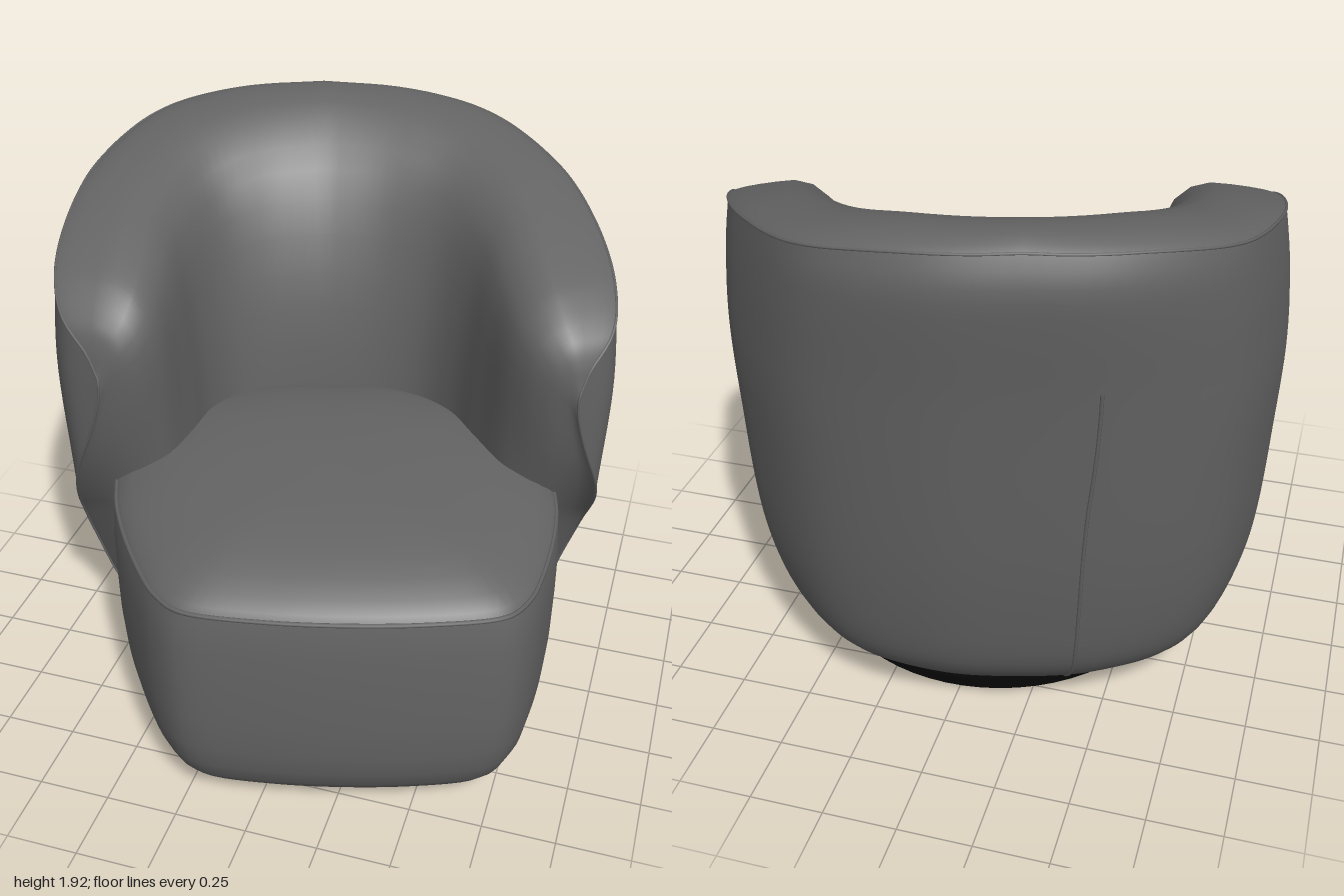
import * as THREE from 'three';
import { toCreasedNormals } from 'three/addons/utils/BufferGeometryUtils.js';

// Smooth curve through [x, y] pairs, clamped at the ends
function table(pts) {
  const n = pts.length;
  const slope = (i) => {
    const a = pts[Math.max(i - 1, 0)], b = pts[Math.min(i + 1, n - 1)];
    return (b[1] - a[1]) / (b[0] - a[0]);
  };
  return (x) => {
    if (x <= pts[0][0]) return pts[0][1];
    if (x >= pts[n - 1][0]) return pts[n - 1][1];
    let i = 0;
    while (x > pts[i + 1][0]) i++;
    const [x0, y0] = pts[i], [x1, y1] = pts[i + 1], h = x1 - x0, s = (x - x0) / h;
    const s2 = s * s, s3 = s2 * s;
    return (2 * s3 - 3 * s2 + 1) * y0 + (s3 - 2 * s2 + s) * h * slope(i)
      + (3 * s2 - 2 * s3) * y1 + (s3 - s2) * h * slope(i + 1);
  };
}

// Skin over rows of points
function skin(rows, crease) {
  const pos = [], index = [], w = rows[0].length;
  rows.forEach((row) => row.forEach((p) => pos.push(p.x, p.y, p.z)));
  for (let i = 0; i < rows.length - 1; i++) {
    for (let j = 0; j < w - 1; j++) {
      const a = i * w + j, b = a + w;
      index.push(a, b, a + 1, b, b + 1, a + 1);
    }
  }
  const geo = new THREE.BufferGeometry();
  geo.setAttribute('position', new THREE.Float32BufferAttribute(pos, 3));
  geo.setIndex(index);
  if (crease) return toCreasedNormals(geo, crease);
  geo.computeVertexNormals();
  return geo;
}

const V = (x, y, z) => new THREE.Vector3(x, y, z);
const range = (n, f) => Array.from({ length: n + 1 }, (_, i) => f(i / n));

// Plan point; the plan leans slightly to the chair's left towards the front
const plan = (x, z) => V(x + 0.06 * z, 0, z);

// Plan curve mirrored from a half list that starts at the back centre; the left arm reaches a little further
function planCurve(half) {
  const point = (x, z) => plan(x, z + 0.15 * x * Math.max(z, 0));
  const right = half.slice(1).reverse().map(([x, z]) => point(-x, z));
  const curve = new THREE.CatmullRomCurve3([...right, ...half.map(([x, z]) => point(x, z))], false, 'centripetal');
  return (t) => curve.getPoint(THREE.MathUtils.clamp(0.5 + t / 2, 0, 1));
}

const outerPlan = planCurve([[0, -1.01], [0.32, -0.98], [0.64, -0.83], [0.845, -0.5], [0.915, -0.2], [0.92, 0.06], [0.875, 0.21], [0.76, 0.3]]);
const innerPlan = planCurve([[0, -0.34], [0.2, -0.325], [0.33, -0.265], [0.42, -0.14], [0.475, 0.03], [0.54, 0.2], [0.64, 0.287], [0.76, 0.3]]);

const BOTTOM = 0.07;
const topHeight = table([[0, 1.89], [0.2, 1.87], [0.43, 1.78], [0.57, 1.705], [0.66, 1.65], [0.82, 1.545], [0.95, 1.44], [1, 1.35]]);
const frontReach = table([[0, 0.66], [0.18, 0.62], [0.33, 0.635], [0.49, 0.7], [0.63, 0.81], [0.8, 0.93], [0.95, 1], [1, 1]]);
const sideScale = table([[0.07, 0.66], [0.13, 0.75], [0.25, 0.87], [0.4, 0.935], [0.6, 0.975], [1, 1], [1.3, 1.01], [1.55, 0.99], [1.7, 0.965], [1.8, 0.945], [1.9, 0.94]]);
const backScale = table([[0.07, 0.55], [0.12, 0.65], [0.2, 0.74], [0.3, 0.8], [0.5, 0.85], [0.8, 0.9], [1.4, 0.97], [1.75, 1.015], [1.83, 1.005], [1.92, 0.965]]);

// Outside of the wraparound back: t runs arm to arm, v runs upward
function outer(t, v) {
  const y = BOTTOM + v * (topHeight(Math.abs(t)) - BOTTOM);
  const p = outerPlan(t * frontReach(v));
  return V(p.x * sideScale(y), y, p.z < 0 ? p.z * backScale(y) : p.z);
}

// Padded inside, f = 0 on the outer shell and 1 on the inner plan; arms roll over more tightly
function inner(t, q, f) {
  const a = Math.abs(t), side = Math.sign(t) || 1;
  const v = q > 1 ? 1 + (q - 1) * (1 - a) : q;
  const o = outer(t, v);
  const end = outer(side, Math.min(v, 1)).sub(outerPlan(side));
  const p = innerPlan(t).addScaledVector(end, a ** 4);
  const g = THREE.MathUtils.lerp(f, 1 - (1 - f) ** 3, Math.min(1, 0.2 + a));
  return V(THREE.MathUtils.lerp(o.x, p.x, g), o.y, THREE.MathUtils.lerp(o.z, p.z, g));
}

function tube(points, radius, closed = false) {
  return new THREE.TubeGeometry(new THREE.CatmullRomCurve3(points, closed), points.length * 2, radius, 6, closed);
}

export function createModel() {
  const fabric = new THREE.MeshStandardMaterial({ color: 0x646464 });
  fabric.name = 'greyFabric';
  const black = new THREE.MeshStandardMaterial({ color: 0x060606 });
  black.name = 'blackPlastic';

  const model = new THREE.Group();
  model.name = 'swivelArmchair';
  const chair = new THREE.Group();
  chair.name = 'chair';
  chair.position.set(0.01, 0, 0.03);
  chair.rotation.y = 0.27;
  model.add(chair);
  const add = (name, geo, mat, parent = chair) => {
    const mesh = new THREE.Mesh(geo, mat);
    mesh.name = name;
    parent.add(mesh);
    return mesh;
  };

  // Samples along the wrap, denser near the arm tips
  const ts = range(120, (s) => Math.sin((s - 0.5) * Math.PI));

  // Outer shell
  const shellRows = range(40, (v) => ts.map((t) => outer(t, v)));
  add('outerShell', skin(shellRows), fabric);

  // Inner padding, rolling over from the top seam down behind the seat
  const roll = [[1, 0], [1.01, 0.015], [1.017, 0.045], [1.019, 0.09], [1.016, 0.16], [1.006, 0.25], [0.985, 0.36],
    [0.95, 0.49], [0.91, 0.59], [0.86, 0.68], [0.8, 0.76], [0.73, 0.84], [0.66, 0.9], [0.58, 0.95],
    ...range(20, (s) => [0.5 * (1 - s), Math.min(1, 0.98 + s * 0.1)])];
  add('innerPadding', skin(roll.map(([q, f]) => ts.map((t) => inner(t, q, f)))), fabric);

  // Underside closing the shell
  add('shellUnderside', skin([ts.map((t) => inner(t, 0, 1)), ts.map((t) => outer(t, 0))]), fabric);

  // Piping along the top seam and down both arm fronts
  const edge = range(24, (s) => s);
  const seam = [
    ...edge.map((v) => outer(-1, v)),
    ...range(60, (s) => outer(Math.sin((s - 0.5) * Math.PI), 1)).slice(1, -1),
    ...edge.map((v) => outer(1, 1 - v)),
  ];
  add('shellPiping', tube(seam, 0.005), fabric);

  // Seam down the back
  add('backSeam', tube(range(20, (s) => outer(-0.15 + s * 0.04, 0.02 + s * 0.74)), 0.006), fabric);

  // Seat block: one plan outline scaled through its height
  const half = [[0.3, -0.48], [0.62, -0.3], [0.755, 0], [0.765, 0.24], [0.725, 0.45], [0.65, 0.67], [0.585, 0.795], [0.49, 0.87], [0.25, 0.905]];
  const outline = new THREE.CatmullRomCurve3([
    plan(0, -0.5), ...half.map(([x, z]) => plan(x, z)), plan(0, 0.915),
    ...half.slice().reverse().map(([x, z]) => plan(-x, z)),
  ], true, 'catmullrom', 0.5);
  const loop = outline.getSpacedPoints(120);
  const ring = ([y, s]) => loop.map((p) => V(p.x * s, y, 0.2 + (p.z - 0.2) * s));
  const seatProfile = [[0.095, 0], [0.095, 0.855], [0.115, 0.89], [0.16, 0.932], [0.23, 0.967], [0.32, 0.988], [0.45, 1],
    [0.6, 1.002], [0.74, 1], [0.83, 0.99], [0.875, 0.978]];
  add('seatBody', skin(seatProfile.map(ring), 0.6), fabric);
  const cushionProfile = [[0.875, 0.978], [0.9, 0.955], [0.928, 0.9], [0.957, 0.81], [0.982, 0.7], [1.0, 0.56],
    [1.012, 0.4], [1.018, 0.2], [1.02, 0]];
  add('seatCushion', skin(cushionProfile.map(ring)), fabric);
  add('seatPiping', tube(ring([0.878, 0.976]).slice(0, -1), 0.008, true), fabric);

  // Swivel base: hub, wide disc and low pads
  const base = new THREE.Group();
  base.name = 'swivelBase';
  base.position.set(0.01, 0, 0.03);
  chair.add(base);
  add('baseHub', new THREE.CylinderGeometry(0.59, 0.59, 0.05, 64).translate(0, 0.08, 0), black, base);
  add('baseDisc', new THREE.CylinderGeometry(0.655, 0.655, 0.035, 64).translate(0, 0.045, 0), black, base);
  for (let i = 0; i < 8; i++) {
    const a = ((i + 0.5) / 8) * Math.PI * 2;
    const pad = add('basePad', new THREE.CylinderGeometry(0.1, 0.075, 0.03, 20), black, base);
    pad.position.set(Math.sin(a) * 0.54, 0.015, Math.cos(a) * 0.54);
  }
  return model;
}
